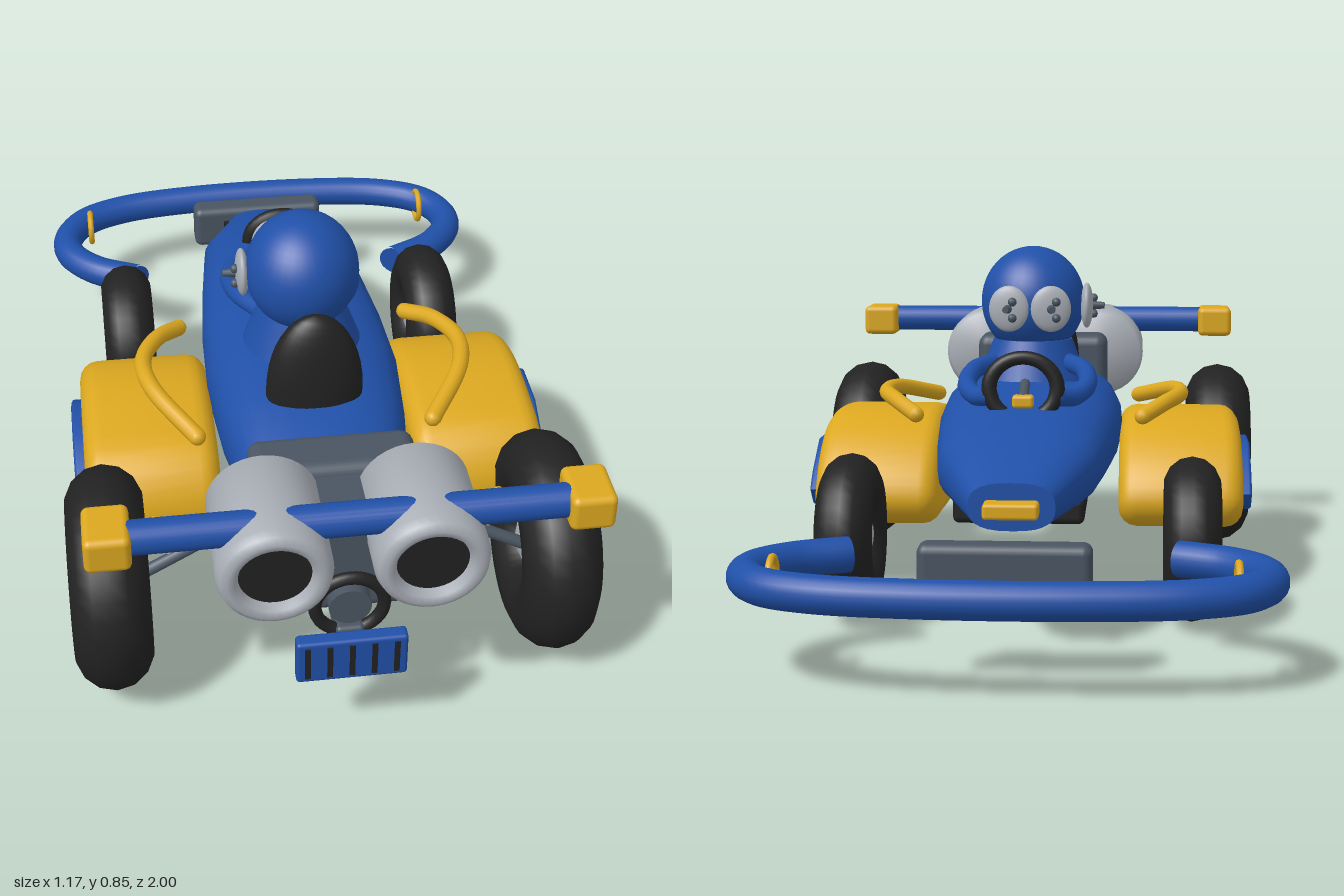
import * as THREE from 'three';
import { toCreasedNormals } from 'three/addons/utils/BufferGeometryUtils.js';
import { RoundedBoxGeometry } from 'three/addons/geometries/RoundedBoxGeometry.js';

const mat = (name, color) => {
  const m = new THREE.MeshStandardMaterial({ color });
  m.name = name;
  return m;
};
const V = (p) => new THREE.Vector3(...p);

// Hull skinned over rounded cross-sections [z, halfWidth, top, bottom]
function hullGeometry(rows, n = 28) {
  const pos = [], idx = [];
  const pw = (v) => Math.sign(v) * Math.abs(v) ** 0.75;
  for (const [z, w, top, bot] of rows) {
    for (let j = 0; j < n; j++) {
      const a = (j / n) * Math.PI * 2;
      pos.push(w * pw(Math.cos(a)), (top + bot) / 2 + ((top - bot) / 2) * pw(Math.sin(a)), z);
    }
  }
  const last = rows.length - 1;
  for (let i = 0; i < last; i++) {
    for (let j = 0; j < n; j++) {
      const k = (j + 1) % n, a = i * n, b = a + n;
      idx.push(a + j, a + k, b + k, a + j, b + k, b + j);
    }
  }
  for (let j = 1; j < n - 1; j++) {
    idx.push(0, j + 1, j, last * n, last * n + j, last * n + j + 1);
  }
  const g = new THREE.BufferGeometry();
  g.setAttribute('position', new THREE.Float32BufferAttribute(pos, 3));
  g.setIndex(idx);
  return toCreasedNormals(g, 0.6);
}

// Plate with a (z, y) outline, given thickness along x and centred on x = 0
function sidePlate(points, width, bevel, smooth) {
  const shape = new THREE.Shape();
  const pts = points.map(([z, y]) => new THREE.Vector2(z, y));
  const outline = smooth
    ? new THREE.CatmullRomCurve3(pts.map((p) => new THREE.Vector3(p.x, p.y, 0)), true).getPoints(40).slice(0, -1)
    : pts;
  shape.setFromPoints(outline.map((p) => new THREE.Vector2(p.x, p.y)));
  const g = new THREE.ExtrudeGeometry(shape, {
    depth: width - 2 * bevel, bevelEnabled: true, bevelThickness: bevel,
    bevelSize: bevel, bevelOffset: -bevel, bevelSegments: 4,
  });
  g.translate(0, 0, -(width - 2 * bevel) / 2);
  g.rotateY(-Math.PI / 2);
  return toCreasedNormals(g, 0.7);
}

export function createModel() {
  const root = new THREE.Group();
  root.name = 'racingKart';
  const blue = mat('blue paint', 0x2050a8);
  const yellow = mat('yellow paint', 0xdca820);
  const steel = mat('dark steel', 0x4a5562);
  const silver = mat('silver', 0xa9aeb6);
  const black = mat('black rubber', 0x222222);

  const add = (name, geo, material, p = [0, 0, 0], r = [0, 0, 0], s = [1, 1, 1], parent = root) => {
    const m = new THREE.Mesh(geo, material);
    m.name = name;
    m.position.set(...p);
    m.rotation.set(...r);
    m.scale.set(...s);
    parent.add(m);
    return m;
  };
  const box = (w, h, d, r) => new RoundedBoxGeometry(w, h, d, 3, r);
  // Tube through points, with round ends
  const tube = (name, pts, r, material) => {
    const v = pts.map(V);
    add(name, new THREE.TubeGeometry(new THREE.CatmullRomCurve3(v), pts.length * 8, r, 12), material);
    for (const e of [v[0], v[v.length - 1]]) add(name + 'End', new THREE.SphereGeometry(r, 12, 8), material, e.toArray());
  };

  // Body, floor and nose tip
  add('body', hullGeometry([
    [-0.61, 0.095, 0.38, 0.275], [-0.4, 0.182, 0.46, 0.28], [-0.2, 0.205, 0.495, 0.275], [0, 0.222, 0.515, 0.27],
    [0.2, 0.228, 0.53, 0.27], [0.4, 0.212, 0.525, 0.275], [0.52, 0.19, 0.51, 0.285], [0.63, 0.165, 0.48, 0.3],
  ]), blue);
  add('floor', box(0.3, 0.06, 1.02, 0.015), black, [0, 0.275, 0.12]);
  add('noseTip', box(0.12, 0.035, 0.07, 0.008), yellow, [0, 0.325, -0.625]);

  const podOutline = [[-0.085, 0.235], [-0.05, 0.31], [0.05, 0.39], [0.17, 0.425], [0.32, 0.425], [0.45, 0.4],
    [0.515, 0.31], [0.505, 0.2], [0.42, 0.155], [0.2, 0.153], [-0.05, 0.18]];
  const panelOutline = [[0.43, 0.195], [0.43, 0.24], [0.39, 0.295], [0.28, 0.355], [0.16, 0.355], [0.06, 0.29],
    [0.015, 0.245], [0.06, 0.2], [0.25, 0.18], [0.4, 0.185]];
  const pod = sidePlate(podOutline, 0.305, 0.045, true);
  const panel = sidePlate(panelOutline, 0.035, 0.008, false);

  const wheel = (name, x, y, z, R, r) => {
    const g = new THREE.Group();
    g.name = name;
    g.position.set(x, y, z);
    root.add(g);
    add('tyre', new THREE.TorusGeometry(R, r, 14, 36), black, [0, 0, 0], [0, Math.PI / 2, 0], [1, 1, 1], g);
    add('hub', new THREE.SphereGeometry(R - r + 0.012, 20, 14), silver, [0, 0, 0], [0, 0, 0], [0.75, 1, 1], g);
  };

  for (const s of [1, -1]) {
    // Side pods with blue panels and top pipes
    add('sidePod', pod, yellow, [s * 0.375, 0, 0]);
    add('sidePanel', panel, blue, [s * 0.535, 0, 0]);
    tube('podPipe', [[s * 0.28, 0.44, 0], [s * 0.335, 0.465, 0.07], [s * 0.375, 0.475, 0.17],
      [s * 0.36, 0.475, 0.28], [s * 0.27, 0.44, 0.425]], 0.02, yellow);

    // Wheels and rear suspension
    wheel('rearWheel', s * 0.49, 0.249, 0.65, 0.16, 0.0875);
    wheel('frontWheel', s * 0.395, 0.2, -0.31, 0.124, 0.066);
    tube('suspensionRod', [[s * 0.45, 0.25, 0.67], [s * 0.28, 0.325, 0.645]], 0.014, steel);
    tube('suspensionHook', [[s * 0.4, 0.36, 0.63], [s * 0.38, 0.385, 0.625], [s * 0.36, 0.33, 0.64], [s * 0.355, 0.305, 0.65]], 0.007, yellow);

    // Exhausts, open at the back
    const lip = [[0, 0], [0.11, 0], [0.12, 0.012], [0.12, 0.235], [0.113, 0.255], [0.098, 0.265], [0.082, 0.26], [0.075, 0.245], [0.075, 0.23]];
    add('exhaust', toCreasedNormals(new THREE.LatheGeometry(lip.map((p) => new THREE.Vector2(...p)), 36), 0.9),
      silver, [s * 0.16, 0.52, 0.735], [Math.PI / 2, 0, 0]);
    add('exhaustMouth', new THREE.CircleGeometry(0.077, 32), black, [s * 0.16, 0.52, 0.975]);

    // Rear bar ends and bumper clips
    add('barEnd', box(0.095, 0.082, 0.12, 0.015), yellow, [s * 0.488, 0.597, 0.91]);
    add('bumperClip', new THREE.TorusGeometry(0.041, 0.008, 8, 20), yellow, [s * 0.475, 0.22, -0.83], [0, Math.PI / 2, 0]);

    // Arms and hands
    tube('arm', [[s * 0.09, 0.56, 0.12], [s * 0.135, 0.55, 0.03], [s * 0.145, 0.525, -0.08], [s * 0.115, 0.51, -0.17], [s * 0.08, 0.515, -0.215]], 0.023, blue);
  }

  // Engine between the exhausts, with its ring and grille
  add('engine', box(0.36, 0.27, 0.13, 0.03), steel, [0, 0.445, 0.675]);
  add('engineRear', box(0.28, 0.25, 0.2, 0.03), steel, [0, 0.435, 0.785]);
  add('engineRing', new THREE.TorusGeometry(0.073, 0.014, 12, 36), black, [0, 0.376, 0.93]);
  add('engineShaft', new THREE.CylinderGeometry(0.045, 0.045, 0.1, 24), steel, [0, 0.376, 0.89], [Math.PI / 2, 0, 0]);
  add('grille', box(0.235, 0.11, 0.035, 0.008), blue, [0, 0.265, 0.965]);
  add('grilleMount', box(0.06, 0.05, 0.12, 0.01), steel, [0, 0.3, 0.89]);
  for (let i = -2; i <= 2; i++) {
    add('grilleSlot', new THREE.BoxGeometry(0.012, 0.085, 0.006), black, [i * 0.047, 0.266, 0.982]);
    add('plateTooth', new THREE.BoxGeometry(0.014, 0.07, 0.02), black, [i * 0.045, 0.22, -0.757]);
  }

  // Rear bar and front bumper
  add('rearBar', new THREE.CylinderGeometry(0.036, 0.036, 0.9, 24), blue, [0, 0.6, 0.917], [0, 0, Math.PI / 2]);
  const half = [[0.36, -0.565], [0.47, -0.625], [0.535, -0.71], [0.54, -0.79], [0.49, -0.875], [0.38, -0.93], [0.17, -0.96]];
  const bumperPts = [...half, ...half.map(([x, z]) => [-x, z]).reverse()].map(([x, z]) => new THREE.Vector3(x, 0.21, z));
  const bumperCurve = new THREE.CatmullRomCurve3(bumperPts);
  add('bumper', new THREE.TubeGeometry(bumperCurve, 90, 0.04, 18), blue);
  for (const s of [1, -1]) {
    add('bumperCap', new THREE.CircleGeometry(0.04, 18), blue, [s * 0.36, 0.21, -0.565], [0, -s * 0.5, 0]);
  }
  add('frontPlate', box(0.36, 0.12, 0.07, 0.02), steel, [0, 0.23, -0.795]);

  // Steering wheel
  add('steeringWheel', new THREE.TorusGeometry(0.08, 0.018, 12, 32), black, [0, 0.535, -0.222], [0.05, 0, 0], [1, 0.9, 1]);
  add('steeringColumn', new THREE.CylinderGeometry(0.012, 0.012, 0.1, 12), steel, [0, 0.52, -0.19], [1.2, 0, 0]);
  add('steeringHub', box(0.05, 0.03, 0.04, 0.008), yellow, [0, 0.505, -0.225]);

  // Driver and seat back
  add('torso', new THREE.CylinderGeometry(0.1, 0.145, 0.12, 28), blue, [0, 0.555, 0.175]);
  add('helmet', new THREE.SphereGeometry(0.138, 36, 24), blue, [0, 0.71, 0.18], [0, 0, 0], [0.95, 1, 1]);
  add('seatBack', new THREE.SphereGeometry(1, 28, 20), black, [0, 0.53, 0.395], [0, 0, 0], [0.11, 0.2, 0.06]);

  // Two goggles on the face and one disc on the side of the helmet
  const disc = (name, p, ry) => {
    const g = new THREE.Group();
    g.name = name;
    g.position.set(...p);
    g.rotation.y = ry;
    root.add(g);
    add('rim', new THREE.SphereGeometry(1, 24, 16), silver, [0, 0, 0], [0, 0, 0], [0.05, 0.057, 0.016], g);
    add('knob', new THREE.CylinderGeometry(0.008, 0.012, 0.04, 12), steel, [0, 0, 0.025], [Math.PI / 2, 0, 0], [1, 1, 1], g);
    for (const y of [-0.022, 0.018]) add('bolt', new THREE.SphereGeometry(0.011, 10, 8), steel, [0.012, y, 0.017], [0, 0, 0], [1, 1, 1], g);
  };
  disc('goggle', [0.052, 0.7, 0.037], Math.PI - 0.12);
  disc('goggle', [-0.052, 0.7, 0.037], Math.PI + 0.12);
  disc('helmetDisc', [-0.137, 0.7, 0.16], -Math.PI / 2);

  return root;
}
